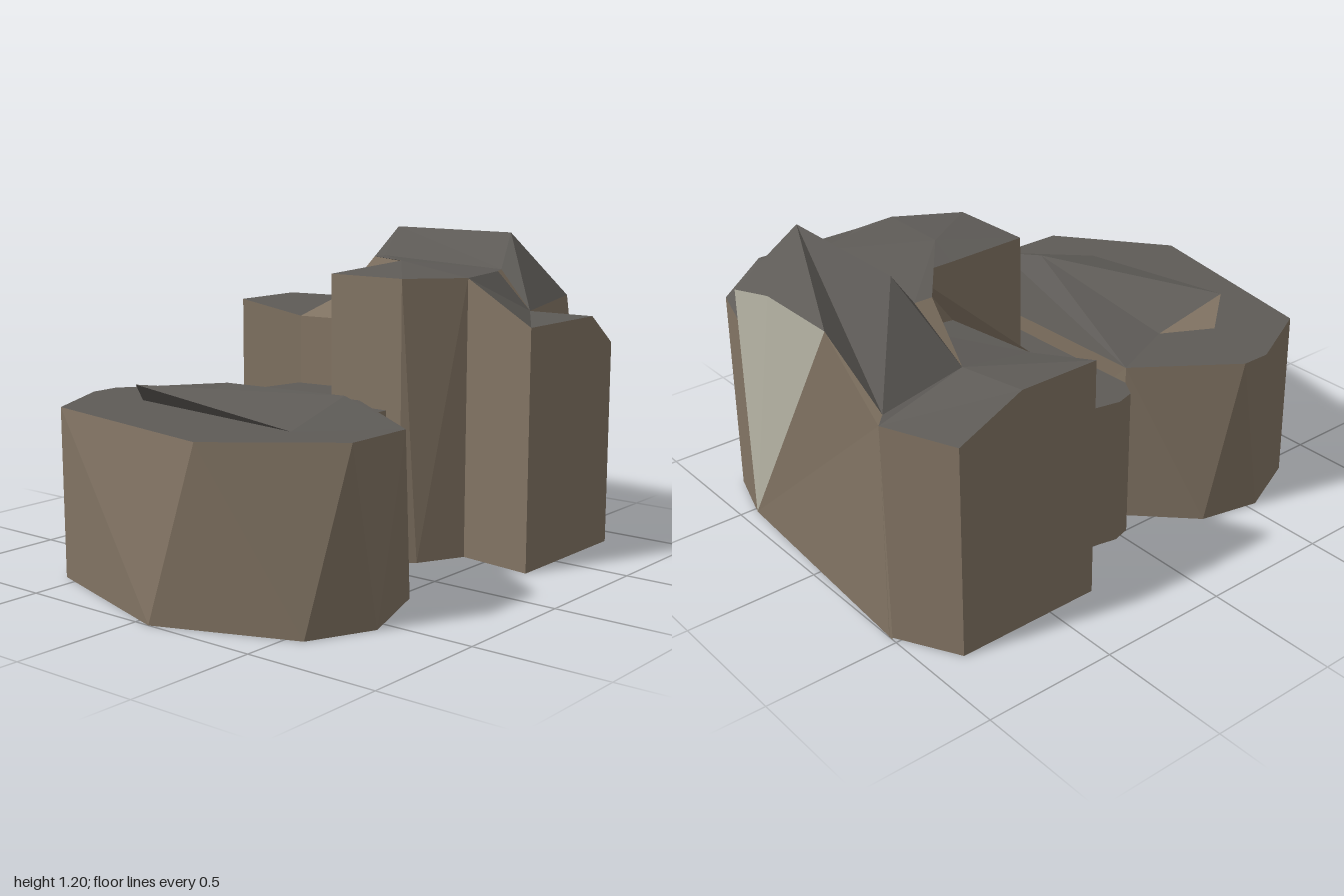
import * as THREE from 'three';

const material = (name, color) =>
  Object.assign(new THREE.MeshStandardMaterial({ color, side: THREE.DoubleSide }), { name });

// Flat-shaded mesh from a few corner lists, each fanned from its first corner
function panels(name, mat, polygons) {
  const pos = [];
  for (const p of polygons)
    for (let i = 1; i < p.length - 1; i++) pos.push(...p[0], ...p[i], ...p[i + 1]);
  const g = new THREE.BufferGeometry();
  g.setAttribute('position', new THREE.Float32BufferAttribute(pos, 3));
  g.computeVertexNormals();
  const mesh = new THREE.Mesh(g, mat);
  mesh.name = name;
  return mesh;
}

// Flat horizontal outline of [x, z] points at height y
function slab(name, mat, outline, y) {
  const pts = outline.map(([x, z]) => new THREE.Vector2(x, -z));
  const g = new THREE.ShapeGeometry(new THREE.Shape(pts));
  g.rotateX(-Math.PI / 2);
  g.translate(0, y, 0);
  const mesh = new THREE.Mesh(g, mat);
  mesh.name = name;
  return mesh;
}

// Vertical wall from the ground up to a chain of top points
const drop = (chain, y = 0) => chain.slice(1).map((b, i) => {
  const a = chain[i];
  return [[a[0], y, a[2]], [b[0], y, b[2]], b, a];
});

export function createModel() {
  const wall = material('brown wall', 0x837564);
  const roof = material('grey roof', 0x5e5b57);
  const pale = material('pale wall', 0xbab8a8);
  const model = new THREE.Group();
  model.name = 'buildingCluster';

  // Front block: [bottom x, z, top x, z], repeated corners make triangles
  const h = 0.635;
  const ring = [
    [-0.565, 0.8, -0.535, 0.83], [0.06, 1, -0.535, 0.83], [0.06, 1, 0.25, 0.97],
    [0.56, 0.8, 0.25, 0.97], [0.56, 0.8, 0.645, 0.66], [0.67, 0.56, 0.645, 0.66],
    [0.67, 0.56, 0.645, 0.38], [0.55, 0.22, 0.645, 0.38], [0.55, 0.22, 0.2, 0.06],
    [0.2, 0.1, 0.2, 0.06], [-0.42, 0.1, -0.43, 0.08], [-0.63, 0.31, -0.43, 0.08],
    [-0.63, 0.31, -0.68, 0.43], [-0.68, 0.54, -0.68, 0.43], [-0.68, 0.54, -0.68, 0.54],
  ];
  const frontWalls = ring.map((a, i) => {
    const b = ring[(i + 1) % ring.length];
    const quad = [[a[0], 0, a[1]], [b[0], 0, b[1]], [b[2], h, b[3]], [a[2], h, a[3]]];
    return quad.filter((p, k) => p.join() !== quad[(k + 1) % 4].join());
  });
  const frontTop = ring.map((r) => [r[2], r[3]])
    .filter((p, i, all) => i === 0 || p.join() !== all[i - 1].join());
  model.add(panels('frontBlockWalls', wall, frontWalls));
  model.add(slab('frontBlockRoof', roof, frontTop, h));

  // Raised fold on the front roof
  const A = [-0.33, 0.715, 0.66], B = [0.38, 0.715, 0.37], C = [0.38, h, 0.65];
  const D = [-0.31, h, 0.36], E = [-0.41, h, 0.55], P = [-0.43, h, 0.08], Q = [0.645, h, 0.38];
  model.add(panels('frontRoofFold', roof, [
    [A, B, D], [A, C, B], [C, Q, B], [B, Q, P], [P, D, B], [E, C, A],
  ]));
  model.add(panels('frontRoofGable', wall, [[E, A, D]]));

  // Low link between the front and back blocks
  const ly = 0.575;
  model.add(slab('linkRoof', roof, [
    [-0.43, 0.08], [0.2, 0.06], [0.2, -0.1], [-0.06, -0.1], [-0.08, -0.42],
    [-0.45, -0.37], [-0.52, -0.03], [-0.5, 0.04],
  ], ly));
  model.add(panels('linkLeftWall', wall,
    drop([[-0.45, ly, -0.37], [-0.52, ly, -0.03], [-0.5, ly, 0.04], [-0.43, ly, 0.08]])));
  model.add(panels('linkRightWall', wall, drop([[0.2, ly, 0.06], [0.2, ly, -0.1]], 0.285)));

  // Tower
  const T1 = [-0.06, 1.065, -0.1], T2 = [0.26, 1.065, -0.11], T3 = [0.4, 1.06, -0.33];
  const T4 = [0.34, 1.06, -0.62], T5 = [0.31, 1.06, -0.69], T6 = [-0.28, 1.08, -0.72];
  const T7 = [-0.28, 1.08, -0.65], T8 = [-0.09, 1.075, -0.59], T9 = [-0.08, 1.07, -0.42];
  const peak = [0.05, 1.1, -0.39];
  const rim = [T1, T2, T3, T4, T5, T6, T7, T8, T9];
  model.add(panels('towerRoof', roof, rim.map((p, i) => [peak, p, rim[(i + 1) % rim.length]])));
  model.add(panels('towerWalls', wall, [
    ...drop([T8, T9, T1, T2]),
    [[0.26, 0, -0.11], [0.31, 0, -0.15], T2],
    [[0.31, 0, -0.15], [0.4, 0, -0.33], T3, T2],
  ]));

  // Left wing, with the step up to the tower
  const L1 = [-0.7, 0.905, -0.31], L2 = [-0.44, 0.85, -0.37], L3 = [-0.08, 0.85, -0.42];
  const L4 = [-0.09, 0.87, -0.59], F = [-0.46, 0.905, -0.67], L5 = [-0.7, 0.905, -0.62];
  const L6 = [-0.7, 0.79, -0.87], E4 = [-0.46, 0.81, -1];
  model.add(panels('leftWingRoof', roof, [
    [L1, L2, F, L5], [L2, L3, L4], [L2, L4, F], [L5, F, E4, L6],
  ]));
  model.add(panels('leftWingWalls', wall, drop([E4, L6, L5, L1, L2, L3])));
  model.add(panels('towerStep', wall, [[F, L4, T8, T7], [F, T7, T6], [L2, L3, T8]]));

  // Right wing
  const R1 = [0.7, 0.905, -0.29], R2 = [0.7, 0.905, -0.72], R3 = [0.7, 0.79, -0.87];
  const R4 = [0.48, 0.79, -0.94], W = [0.475, 0.915, -0.64];
  const E1 = [0.44, 0.945, -0.97];
  model.add(panels('rightWingRoof', roof, [[T3, R1, W], [R1, R2, W], [R2, R3, R4, W], [T3, W, T4]]));
  model.add(panels('rightWingWalls', wall, [
    ...drop([T3, R1, R2, R3, R4]), [W, R4, E1], [T4, W, T5],
  ]));

  // Back ridge roof
  const RL = [-0.27, 1.195, -0.8], RR = [0.28, 1.195, -0.8];
  const E2 = [0.18, 1.02, -0.99], E3 = [-0.18, 1.03, -1], G = [-0.44, 0.83, -0.97];
  model.add(panels('ridgeRoof', roof, [
    [RR, E1, E2], [RR, E2, E3], [RR, E3, G], [RR, G, RL], [RL, G, F],
    [RL, F, T6], [RL, T6, T5, RR], [RR, T5, W], [RR, W, E1], [F, G, E4],
  ]));

  // Back wall with its pale corner
  const K = [0.48, 0, -0.94];
  model.add(panels('paleBackWall', pale, [[K, E3, E2, E1]]));
  model.add(panels('backWall', wall, [
    [K, [-0.48, 0, -1], E4], [K, E4, E3], [E4, G, E3], [K, E1, R4],
  ]));

  return model;
}
